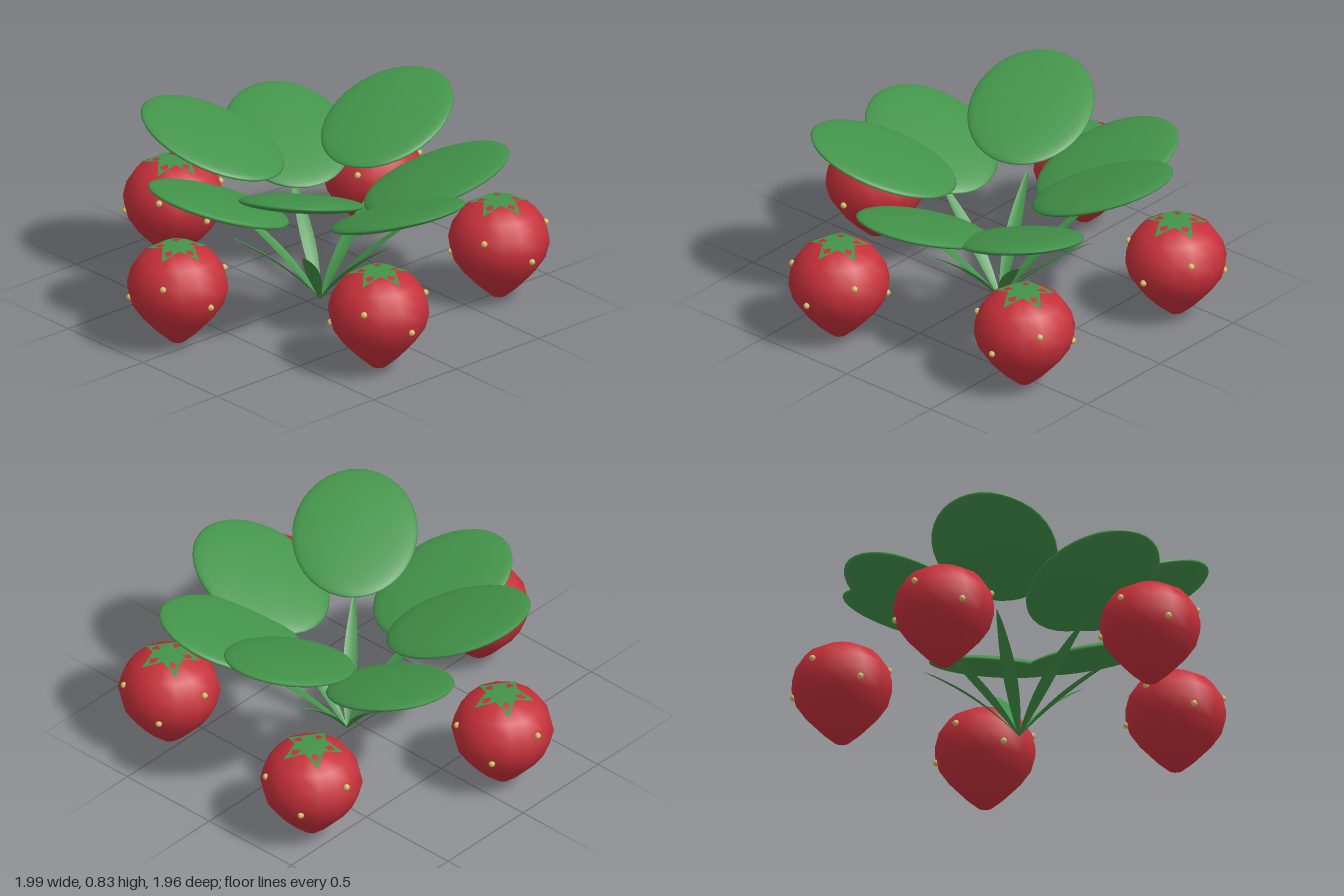
import * as THREE from 'three';

const leafGreen = new THREE.MeshStandardMaterial({ name: 'leafGreen', color: 0x43944a });
const bladeGreen = new THREE.MeshStandardMaterial({ name: 'bladeGreen', color: 0x43944a, side: THREE.DoubleSide });
const berryRed = new THREE.MeshStandardMaterial({ name: 'berryRed', color: 0xc6303a });
const seedYellow = new THREE.MeshStandardMaterial({ name: 'seedYellow', color: 0xd2be68 });

const CENTRE = [0.02, 0, -0.06];
const rad = THREE.MathUtils.degToRad;

function part(geometry, material, name) {
  const mesh = new THREE.Mesh(geometry, material);
  mesh.name = name;
  return mesh;
}

function meshFrom(positions, index) {
  const g = new THREE.BufferGeometry();
  g.setAttribute('position', new THREE.Float32BufferAttribute(positions, 3));
  g.setIndex(index);
  g.computeVertexNormals();
  return g;
}

// Five-pointed cap draped over the top of a berry
function calyxGeometry() {
  const pos = [0, 0.492, 0];
  const index = [];
  for (let i = 0; i < 10; i++) {
    const a = (i * Math.PI) / 5;
    const tip = i % 2 === 0;
    const r = tip ? 0.145 : 0.075;
    pos.push(r * Math.cos(a), tip ? 0.456 : 0.487, r * Math.sin(a));
    index.push(0, 1 + ((i + 1) % 10), 1 + i);
  }
  return meshFrom(pos, index);
}

// Narrow arched blade, pointed at both ends, with a shallow centre fold
function bladeGeometry() {
  const curve = new THREE.QuadraticBezierCurve3(
    new THREE.Vector3(0, 0, 0), new THREE.Vector3(0.2, 0.235, 0), new THREE.Vector3(0.48, 0.415, 0));
  const steps = 10;
  const pos = [];
  const index = [];
  for (let i = 0; i <= steps; i++) {
    const t = i / steps;
    const p = curve.getPoint(t);
    const w = 0.004 + 0.028 * Math.sin(Math.PI * Math.pow(t, 0.9));
    const half = i === steps ? 0 : w;
    pos.push(p.x, p.y + half * 0.3, -half, p.x, p.y, 0, p.x, p.y + half * 0.3, half);
    if (i < steps) {
      for (let k = 0; k < 2; k++) {
        const a = i * 3 + k;
        index.push(a, a + 1, a + 3, a + 1, a + 4, a + 3);
      }
    }
  }
  return meshFrom(pos, index);
}

export function createModel() {
  const model = new THREE.Group();
  model.name = 'strawberryPlant';

  // Shared geometries
  const profile = [[0, 0.005], [0.035, 0.017], [0.1, 0.075], [0.165, 0.145], [0.212, 0.215],
    [0.232, 0.29], [0.215, 0.36], [0.17, 0.43], [0.09, 0.475], [0, 0.484]];
  const berryGeo = new THREE.LatheGeometry(profile.map(([r, y]) => new THREE.Vector2(r, y)), 14);
  const calyxGeo = calyxGeometry();
  const seedGeo = new THREE.SphereGeometry(0.015, 8, 6);
  const leafGeo = new THREE.SphereGeometry(1, 36, 18).scale(0.35, 0.036, 0.283);
  const bladeGeo = bladeGeometry();

  // Ring of five berries, all facing the same way
  for (let i = 0; i < 5; i++) {
    const a = rad(23 + i * 72);
    const berry = new THREE.Group();
    berry.name = 'berry';
    berry.position.set(CENTRE[0] + 0.805 * Math.cos(a), 0, CENTRE[2] + 0.805 * Math.sin(a));
    berry.add(part(berryGeo, berryRed, 'berryBody'), part(calyxGeo, leafGreen, 'calyx'));
    // Seeds in two staggered rows
    for (let s = 0; s < 6; s++) {
      const upper = s % 2 === 1;
      const b = rad(s * 60);
      const r = upper ? 0.215 : 0.222;
      const seed = part(seedGeo, seedYellow, 'seed');
      seed.position.set(r * Math.cos(b), upper ? 0.355 : 0.25, r * Math.sin(b));
      berry.add(seed);
    }
    model.add(berry);
  }

  // Seven tilted leaves at alternating heights, each above a blade
  for (let i = 0; i < 7; i++) {
    const spoke = new THREE.Group();
    spoke.name = 'leafSpoke';
    spoke.position.set(...CENTRE);
    spoke.rotation.y = (-i * 2 * Math.PI) / 7;
    const leaf = part(leafGeo, leafGreen, 'leaf');
    leaf.position.set(0.525, i % 2 ? 0.705 : 0.585, 0);
    leaf.rotation.z = rad(20);
    spoke.add(leaf, part(bladeGeo, bladeGreen, 'blade'));
    model.add(spoke);
  }
  return model;
}
